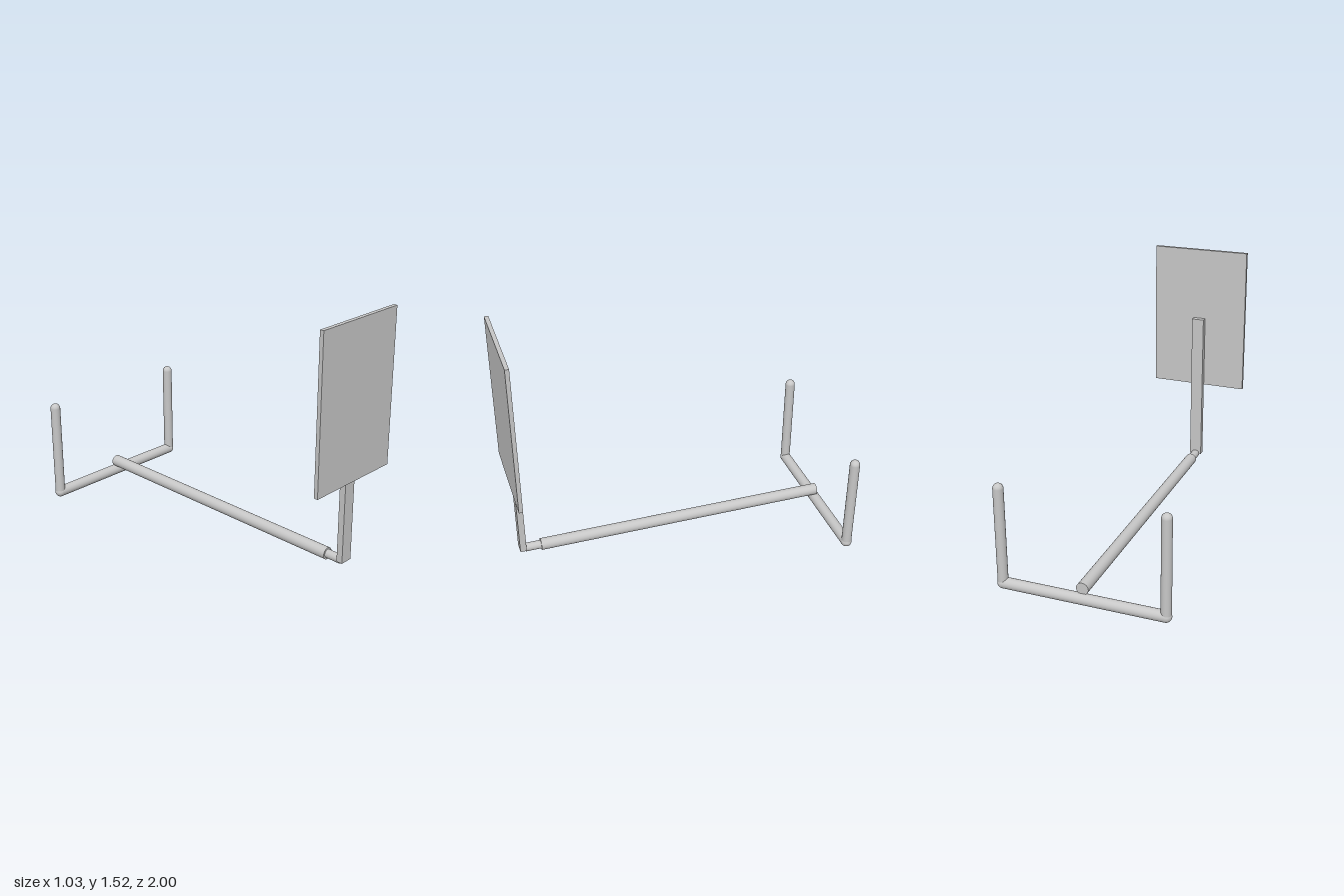
import * as THREE from 'three';

export function createModel() {
  const model = new THREE.Group();
  const grey = new THREE.MeshStandardMaterial({ color: 0xc7c7c7 });
  grey.name = 'light grey';

  function add(name, geometry, x, y, z) {
    const mesh = new THREE.Mesh(geometry, grey);
    mesh.name = name;
    mesh.position.set(x, y, z);
    model.add(mesh);
  }

  // Flat panel and the post behind it
  add('panel', new THREE.BoxGeometry(0.614, 0.92, 0.024), 0, 1.058, 0.988);
  add('post', new THREE.BoxGeometry(0.077, 0.963, 0.038), 0, 0.5785, 0.958);

  // Long tube along z, with a thinner neck reaching the post
  const tube = (name, radius, z0, z1) => {
    const geometry = new THREE.CylinderGeometry(radius, radius, z1 - z0, 40).rotateX(Math.PI / 2);
    add(name, geometry, 0, 0.096, (z0 + z1) / 2);
  };
  tube('mainTube', 0.036, -0.968, 0.845);
  tube('neckTube', 0.026, 0.845, 0.941);

  // Round-ended crossbar resting on the ground
  const backZ = -0.967;
  const bar = new THREE.CapsuleGeometry(0.033, 0.96, 10, 40).rotateZ(Math.PI / 2);
  add('crossbar', bar, 0, 0.034, backZ);

  // Round-topped uprights at both ends of the crossbar
  for (const side of [-1, 1]) {
    const upright = new THREE.CapsuleGeometry(0.03, 0.579, 10, 40);
    add(side > 0 ? 'leftUpright' : 'rightUpright', upright, side * 0.481, 0.3235, backZ);
  }

  return model;
}
